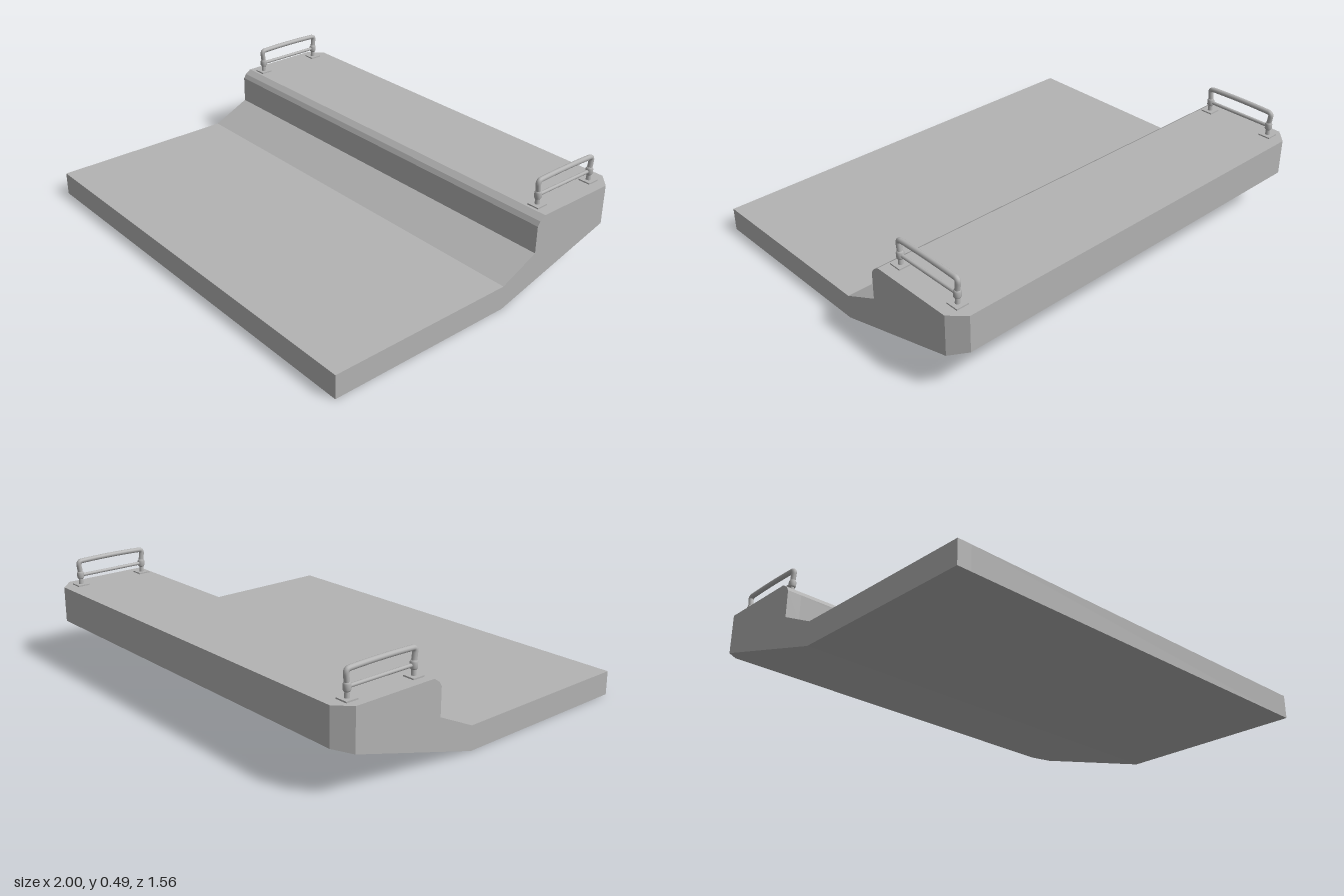
import * as THREE from 'three';

const grey = new THREE.MeshStandardMaterial({ color: 0xb3b3b3 });
grey.name = 'light grey';

// Side profile as [z, y]; the back edge moves forward at the clipped corners
function section(back) {
  const bottom = 0.193 * (-0.105 - back) / 0.673;
  return [[0.778, 0], [0.778, 0.108], [-0.105, 0.108], [-0.285, 0.193], [-0.285, 0.318],
    [-0.298, 0.338], [-0.325, 0.357], [back, 0.357], [back, bottom], [-0.105, 0]];
}

// Solid lofted across x from the side profiles, with flat faces
function slabGeometry() {
  const stations = [[-1, -0.715], [-0.935, -0.778], [0.935, -0.778], [1, -0.715]]
    .map(([x, back]) => section(back).map(([z, y]) => [x, y, z]));
  const pos = [];
  const tri = (a, b, c) => pos.push(...a, ...b, ...c);
  for (let i = 0; i < 3; i++) {
    const s = stations[i], t = stations[i + 1];
    s.forEach((a, j) => {
      const k = (j + 1) % s.length;
      tri(a, t[j], s[k]);
      tri(s[k], t[j], t[k]);
    });
  }
  // End caps
  const outline = section(-0.715).map(([z, y]) => new THREE.Vector2(z, y));
  for (const [a, b, c] of THREE.ShapeUtils.triangulateShape(outline, [])) {
    const l = stations[0], r = stations[3];
    tri(l[a], l[b], l[c]);
    tri(r[a], r[c], r[b]);
  }
  const g = new THREE.BufferGeometry();
  g.setAttribute('position', new THREE.Float32BufferAttribute(pos, 3));
  g.computeVertexNormals();
  return g;
}

function add(parent, name, geometry, x = 0, y = 0, z = 0) {
  const mesh = new THREE.Mesh(geometry, grey);
  mesh.name = name;
  mesh.position.set(x, y, z);
  parent.add(mesh);
  return mesh;
}

// Handrail running along z, standing on two base plates
function handrail(name) {
  const rail = new THREE.Group();
  rail.name = name;
  const half = 0.165;
  for (const s of [-1, 1]) {
    const z = s * half;
    add(rail, 'basePlate', new THREE.BoxGeometry(0.056, 0.006, 0.056), 0, 0.003, z);
    add(rail, 'lowerPost', new THREE.CylinderGeometry(0.009, 0.011, 0.034, 12), 0, 0.02, z);
    // Joint collar
    const collar = [[0, 0.03], [0.012, 0.03], [0.016, 0.036], [0.016, 0.058], [0.011, 0.066], [0, 0.066]];
    add(rail, 'collar', new THREE.LatheGeometry(collar.map(p => new THREE.Vector2(...p)), 12), 0, 0, z);
  }
  // Bowed top bar with bent ends running down into the collars
  const path = new THREE.CurvePath();
  const v = (y, z) => new THREE.Vector3(0, y, z);
  path.add(new THREE.LineCurve3(v(0.06, -half), v(0.096, -0.17)));
  path.add(new THREE.QuadraticBezierCurve3(v(0.096, -0.17), v(0.113, -0.172), v(0.114, -0.155)));
  path.add(new THREE.QuadraticBezierCurve3(v(0.114, -0.155), v(0.12, 0), v(0.114, 0.155)));
  path.add(new THREE.QuadraticBezierCurve3(v(0.114, 0.155), v(0.113, 0.172), v(0.096, 0.17)));
  path.add(new THREE.LineCurve3(v(0.096, 0.17), v(0.06, half)));
  add(rail, 'topBar', new THREE.TubeGeometry(path, 80, 0.0115, 12));
  // Straight lower bar between the collars
  add(rail, 'lowerBar', new THREE.CylinderGeometry(0.008, 0.008, 2 * half, 12), 0, 0.047, 0)
    .rotation.x = Math.PI / 2;
  return rail;
}

export function createModel() {
  const model = new THREE.Group();
  model.name = 'steppedPlatform';
  add(model, 'platform', slabGeometry());
  for (const [name, x] of [['rightHandrail', -0.933], ['leftHandrail', 0.922]]) {
    const rail = handrail(name);
    rail.position.set(x, 0.357, -0.531);
    model.add(rail);
  }
  return model;
}
